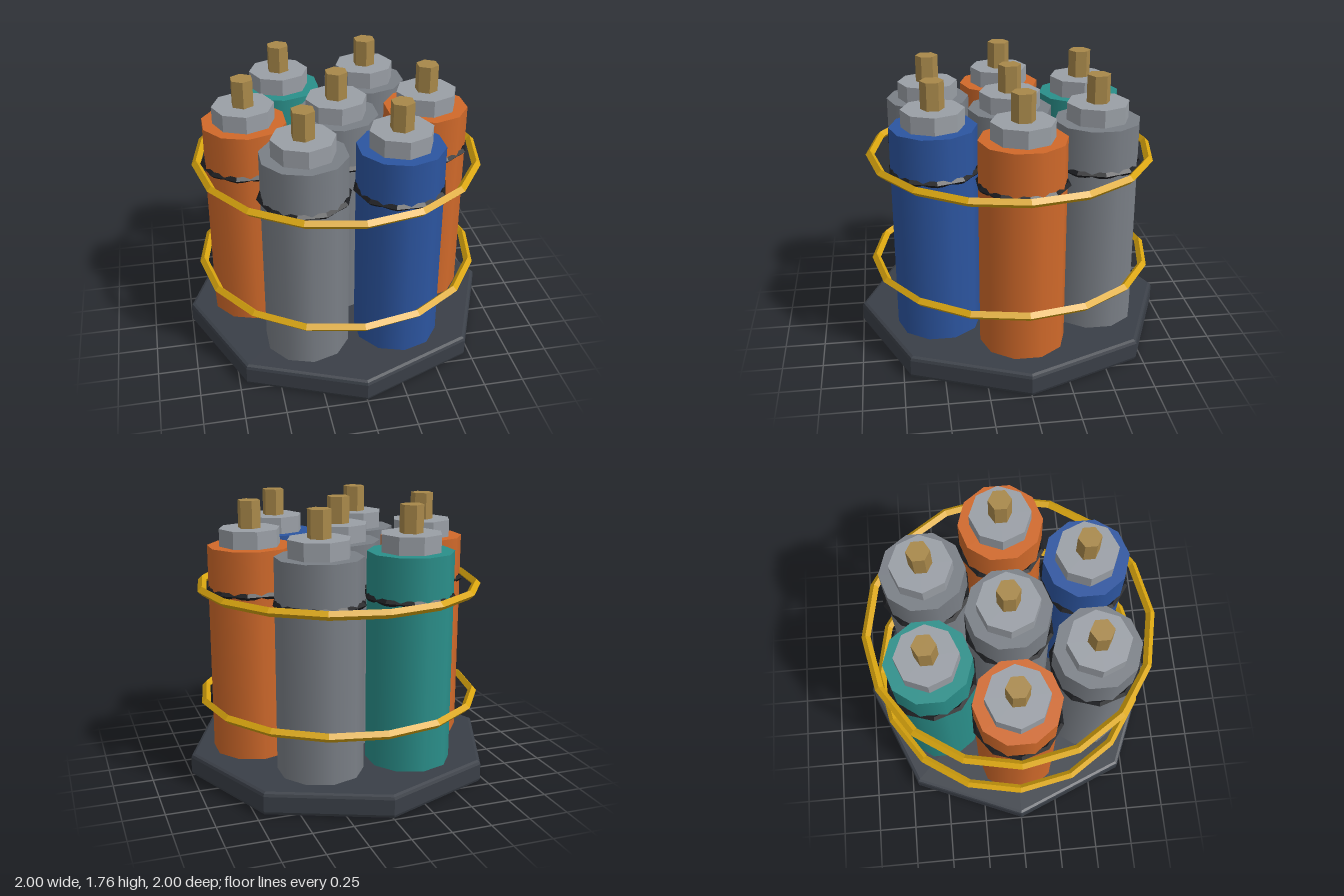
import * as THREE from 'three';

const material = (color, flatShading = true) => new THREE.MeshStandardMaterial({ color, flatShading });

function add(parent, name, geometry, mat, x, y, z) {
  const mesh = new THREE.Mesh(geometry, mat);
  mesh.name = name;
  mesh.position.set(x, y, z);
  parent.add(mesh);
  return mesh;
}

// Upright prism spanning y0 to y1
function prism(radius, y0, y1, sides) {
  return new THREE.CylinderGeometry(radius, radius, y1 - y0, sides).translate(0, (y0 + y1) / 2, 0);
}

// Horizontal ring with a diamond cross-section
function ring(radius, tube, sides) {
  return new THREE.TorusGeometry(radius, tube, 4, sides).rotateX(Math.PI / 2);
}

export function createModel() {
  const model = new THREE.Group();
  model.name = 'canisterCluster';

  // Eight-sided base plate with bevelled rims
  const profile = [[0, 0], [0.975, 0], [0.993, 0.008], [1, 0.025], [1, 0.122], [0.993, 0.139], [0.975, 0.147], [0, 0.147]]
    .map(([r, y]) => new THREE.Vector2(r, y));
  add(model, 'basePlate', new THREE.LatheGeometry(profile, 8), material(0x3a3f47), 0, 0, 0);

  // One canister in the middle, six around it
  const grey = 0x7a7f86, orange = 0xd0692a, blue = 0x2c55a0, teal = 0x2a8f8a;
  const outerColors = [orange, blue, grey, orange, teal, grey];
  const spots = [[0, 0, grey]];
  outerColors.forEach((color, i) => {
    const a = i * Math.PI / 3;
    spots.push([0.577 * Math.cos(a), 0.577 * Math.sin(a), color]);
  });

  const bodyGeometry = prism(0.265, 0.16, 1.482, 10);
  const capGeometry = prism(0.192, 1.482, 1.59, 8);
  const studGeometry = prism(0.072, 1.59, 1.76, 6);
  const collarGeometry = ring(0.265, 0.02, 10);
  const capMaterial = material(0x9a9fa6);
  const studMaterial = material(0xa8884a);
  const collarMaterial = material(0x1c1d20);

  for (const [x, z, color] of spots) {
    const canister = new THREE.Group();
    canister.name = 'canister';
    canister.position.set(x, 0, z);
    add(canister, 'canisterBody', bodyGeometry, material(color, false), 0, 0, 0);
    add(canister, 'canisterCap', capGeometry, capMaterial, 0, 0, 0);
    add(canister, 'valveStud', studGeometry, studMaterial, 0, 0, 0);
    add(canister, 'collar', collarGeometry, collarMaterial, 0, 1.21, 0);
    model.add(canister);
  }

  // Two retaining hoops around the cluster
  const hoopGeometry = ring(0.887, 0.028, 16);
  const hoopMaterial = material(0xd9a50f);
  for (const y of [0.485, 1.21]) add(model, 'retainingHoop', hoopGeometry, hoopMaterial, 0, y, 0);

  return model;
}
